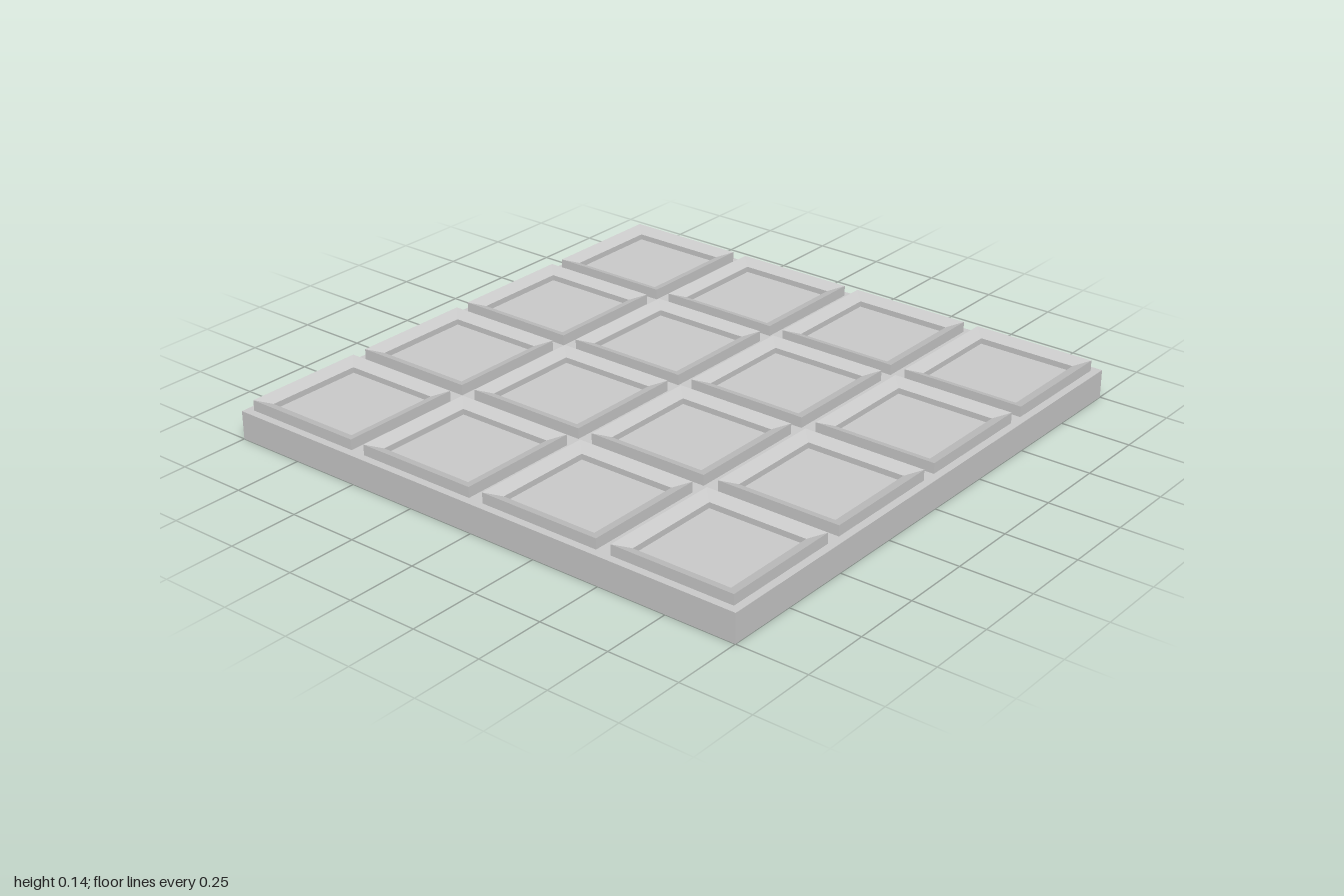
import * as THREE from 'three';

const BASE_HEIGHT = 0.1;
const RIM_TOP = 0.137; // outer edge of each frame
const RIM_INNER = 0.12; // the rim slopes down to this at the opening
const OUTER = 0.2225; // half width of a frame
const INNER = 0.1775; // half width of its opening
const COUNT = 4;
const PITCH = 0.5;

// Square ring: a four-sided lathe turned by 45 degrees
function squareRing(profile) {
  const points = profile.map(([half, y]) => new THREE.Vector2(half * Math.SQRT2, y));
  return new THREE.LatheGeometry(points, 4, Math.PI / 4);
}

export function createModel() {
  const model = new THREE.Group();
  model.name = 'panelledSlab';
  const material = new THREE.MeshStandardMaterial({ color: 0xcccccc, flatShading: true });

  // Flat square slab
  const base = new THREE.Mesh(new THREE.BoxGeometry(2, BASE_HEIGHT, 2), material);
  base.name = 'base';
  base.position.y = BASE_HEIGHT / 2;
  model.add(base);

  // Raised frames with rims sloping inward
  const frameGeometry = squareRing([
    [OUTER, BASE_HEIGHT],
    [OUTER, RIM_TOP],
    [INNER, RIM_INNER],
    [INNER, BASE_HEIGHT],
  ]);
  const frames = new THREE.Group();
  frames.name = 'frames';
  for (let row = 0; row < COUNT; row++) {
    for (let col = 0; col < COUNT; col++) {
      const frame = new THREE.Mesh(frameGeometry, material);
      frame.name = `frameRow${row + 1}Column${col + 1}`;
      frame.position.set((col - (COUNT - 1) / 2) * PITCH, 0, (row - (COUNT - 1) / 2) * PITCH);
      frames.add(frame);
    }
  }
  model.add(frames);
  return model;
}
